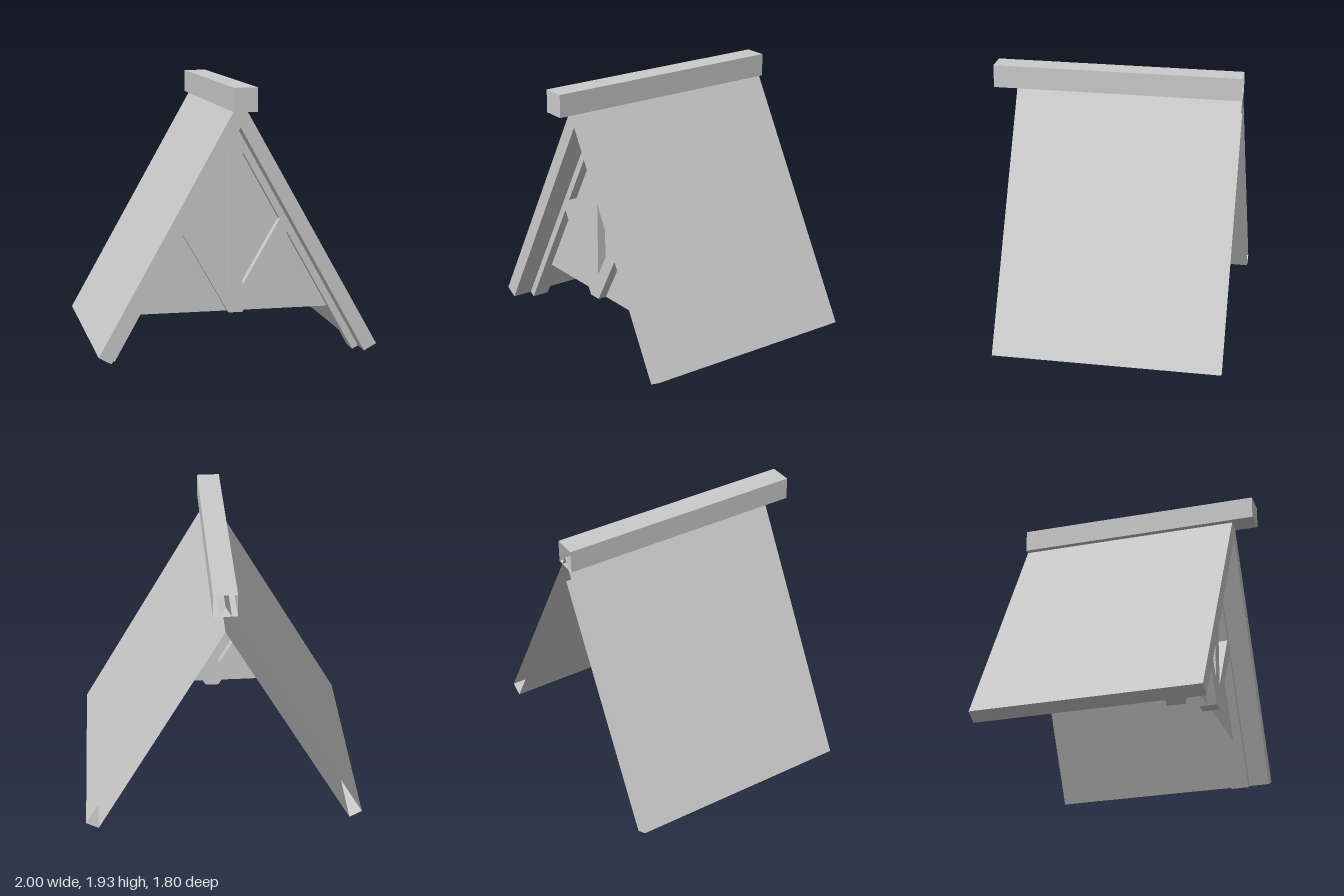
import * as THREE from 'three';

const BACK = -0.9;

// Extrude an outline of [x, y] points from z0 to z1, optionally leaving the back end open.
function prism(name, points, z0, z1, openBack = false) {
  const shape = new THREE.Shape(points.map(([x, y]) => new THREE.Vector2(x, y)));
  const geometry = new THREE.ExtrudeGeometry(shape, { depth: z1 - z0, bevelEnabled: false });
  geometry.translate(0, 0, z0);
  if (openBack) {
    const p = geometry.attributes.position;
    const kept = [];
    for (let i = 0; i < p.count; i += 3) {
      const onBack = [0, 1, 2].every((k) => Math.abs(p.getZ(i + k) - z0) < 1e-5);
      if (!onBack) for (let k = 0; k < 3; k++) kept.push(p.getX(i + k), p.getY(i + k), p.getZ(i + k));
    }
    geometry.setAttribute('position', new THREE.Float32BufferAttribute(kept, 3));
    geometry.deleteAttribute('uv');
    geometry.clearGroups();
    geometry.computeVertexNormals();
  }
  const material = new THREE.MeshStandardMaterial({
    color: 0xcccccc,
    flatShading: true,
    side: openBack ? THREE.DoubleSide : THREE.FrontSide,
  });
  const mesh = new THREE.Mesh(geometry, material);
  mesh.name = name;
  return mesh;
}

// Upside-down V outline with square-cut feet.
function chevron(outerApex, outerFoot, innerFoot, innerApex) {
  const flip = ([x, y]) => [-x, y];
  return [[0, outerApex], flip(outerFoot), flip(innerFoot), [0, innerApex], innerFoot, outerFoot];
}

export function createModel() {
  const model = new THREE.Group();
  model.name = 'gabledDormerRoof';

  // Both roof slopes, open where they meet the main roof
  model.add(prism('roofSlopes', chevron(1.845, [1, 0.073], [0.911, 0.024], 1.65), BACK, 0.735, true));

  // Ridge beam overhanging the front
  const w = 0.083;
  model.add(prism('ridgeBeam', [[-w, 1.77], [w, 1.77], [w, 1.935], [-w, 1.935]], BACK, 0.9, true));

  // Timber frame: rafters, king post and a mirrored pair of struts
  const z0 = 0.455, z1 = 0.585;
  const frame = new THREE.Group();
  frame.name = 'gableFrame';
  frame.add(prism('rafters', chevron(1.65, [0.911, 0.024], [0.868, 0], 1.55), z0, z1));
  frame.add(prism('kingPost', [[-0.05, 0.315], [0.05, 0.315], [0.05, 1.46], [0, 1.55], [-0.05, 1.46]], z0, z1));
  for (const [s, name] of [[1, 'leftStrut'], [-1, 'rightStrut']]) {
    const outline = [[0.05, 0.315], [0.375, 0.884], [0.322, 0.98], [0.05, 0.51]];
    frame.add(prism(name, outline.map(([x, y]) => [s * x, y]), z0, z1));
  }
  model.add(frame);

  // Thin gable panel set in the middle of the frame depth
  const panel = new THREE.Shape([[-0.72, 0.315], [0.72, 0.315], [0, 1.6]].map(([x, y]) => new THREE.Vector2(x, y)));
  const gable = new THREE.Mesh(
    new THREE.ShapeGeometry(panel),
    new THREE.MeshStandardMaterial({ color: 0xcccccc, flatShading: true, side: THREE.DoubleSide }),
  );
  gable.name = 'gablePanel';
  gable.position.z = 0.52;
  model.add(gable);

  return model;
}
